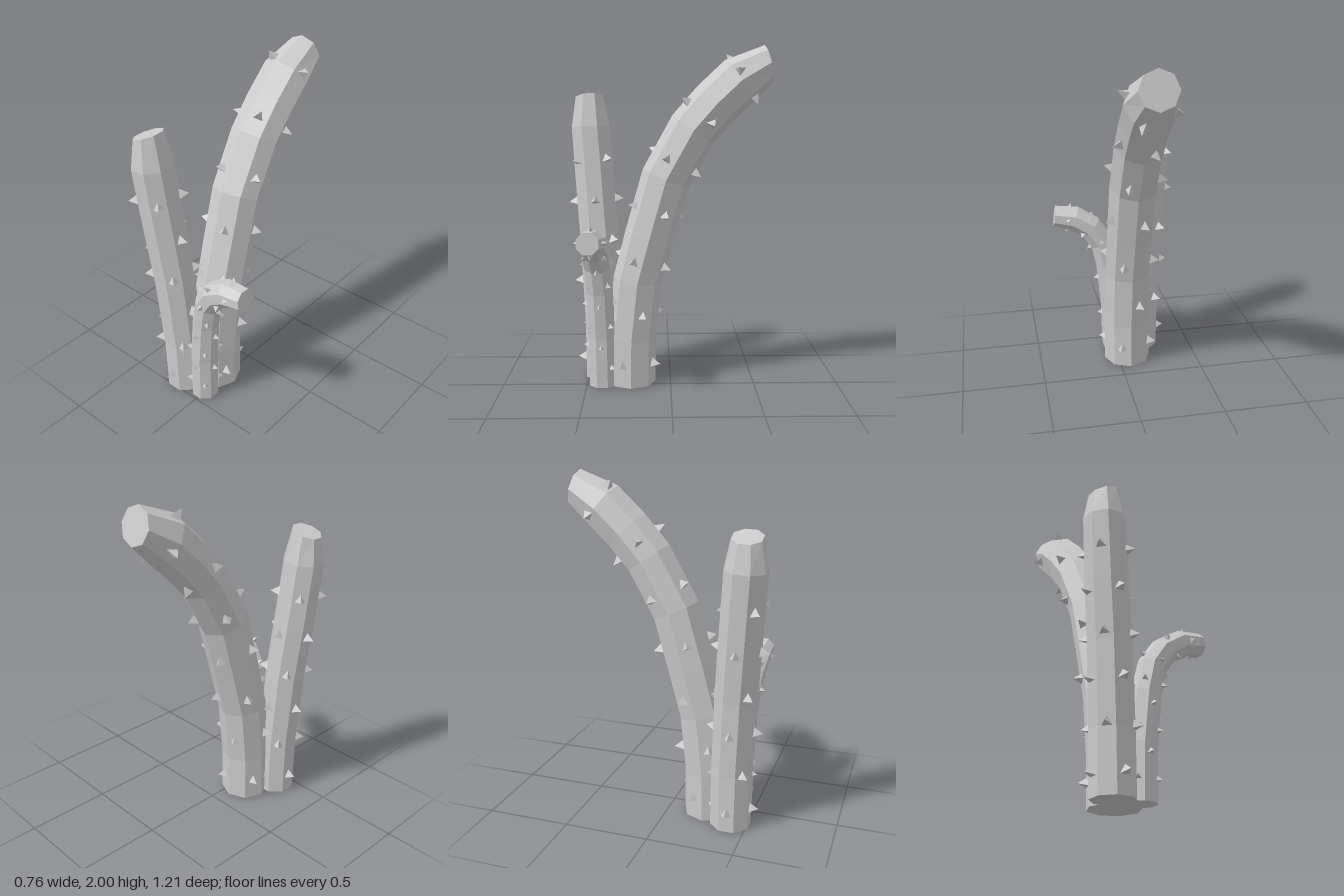
import * as THREE from 'three';

const SIDES = 8;
const material = new THREE.MeshStandardMaterial({ color: 0xcccccc, flatShading: true });
const V = (x, y, z) => new THREE.Vector3(x, y, z);

// Ring frames along a path of [x, y, z, radius]; the last ring faces endDir.
function makeRings(path, endDir) {
  const pts = path.map(p => V(p[0], p[1], p[2]));
  return pts.map((c, i) => {
    let T;
    if (i === 0) T = V(0, 1, 0);
    else if (i === pts.length - 1) T = V(...endDir).normalize();
    else {
      const a = c.clone().sub(pts[i - 1]).normalize();
      const b = pts[i + 1].clone().sub(c).normalize();
      T = a.add(b).normalize();
    }
    const X = T.clone().cross(V(0, 0, 1)).normalize();
    return { c, T, X, Z: X.clone().cross(T), r: path[i][3] };
  });
}

// Outward direction at an angle measured from the front towards the left side
const outward = (f, a) =>
  f.X.clone().multiplyScalar(Math.sin(a)).addScaledVector(f.Z, Math.cos(a));

// Eight-sided tapering stem, closed at both ends
function stemGeometry(rings, phase) {
  const pos = [], idx = [];
  const add = p => pos.push(p.x, p.y, p.z);
  for (const f of rings)
    for (let j = 0; j < SIDES; j++)
      add(f.c.clone().addScaledVector(outward(f, phase + j * Math.PI * 2 / SIDES), f.r));
  const last = rings.length - 1;
  add(rings[0].c);
  add(rings[last].c);
  const bottom = rings.length * SIDES, top = bottom + 1;
  for (let j = 0; j < SIDES; j++) {
    const k = (j + 1) % SIDES;
    for (let i = 0; i < last; i++) {
      const a = i * SIDES, b = a + SIDES;
      idx.push(a + j, a + k, b + k, a + j, b + k, b + j);
    }
    idx.push(bottom, k, j, top, last * SIDES + j, last * SIDES + k);
  }
  const g = new THREE.BufferGeometry();
  g.setAttribute('position', new THREE.Float32BufferAttribute(pos, 3));
  g.setIndex(idx);
  const flat = g.toNonIndexed();
  flat.computeVertexNormals();
  return flat;
}

// Frame at a given length along the stem
function frameAt(rings, s) {
  let i = 0, len = rings[0].c.distanceTo(rings[1].c);
  while (s > len && i < rings.length - 2) {
    s -= len;
    i++;
    len = rings[i].c.distanceTo(rings[i + 1].c);
  }
  const a = rings[i], b = rings[i + 1], t = s / len;
  const T = b.c.clone().sub(a.c).normalize();
  const X = T.clone().cross(V(0, 0, 1)).normalize();
  return { c: a.c.clone().lerp(b.c, t), T, X, Z: X.clone().cross(T), r: a.r + (b.r - a.r) * t };
}

// Rows of four spikes, each row turned by one face from the row below
function addSpikes(group, rings, o) {
  const geo = new THREE.ConeGeometry(o.size * 0.62, o.size, 3);
  for (let row = 0; row < o.rows; row++) {
    const f = frameAt(rings, o.start + row * o.step);
    for (let k = 0; k < 4; k++) {
      const d = outward(f, o.angle + row * Math.PI / 4 + k * Math.PI / 2);
      const spike = new THREE.Mesh(geo, material);
      spike.name = 'spike';
      spike.position.copy(f.c).addScaledVector(d, f.r * Math.cos(Math.PI / SIDES) + o.size * 0.38);
      spike.quaternion.setFromRotationMatrix(
        new THREE.Matrix4().makeBasis(d.clone().cross(f.T), d, f.T));
      group.add(spike);
    }
  }
}

function makeStem(name, path, endDir, phase, spikes) {
  const group = new THREE.Group();
  group.name = name;
  const rings = makeRings(path, endDir);
  const stem = new THREE.Mesh(stemGeometry(rings, phase), material);
  stem.name = name + 'Body';
  group.add(stem);
  addSpikes(group, rings, spikes);
  return group;
}

export function createModel() {
  const model = new THREE.Group();
  model.name = 'cactus';
  const E = Math.PI / 8;

  // Tall stem arching to the back
  model.add(makeStem('tallStem', [
    [-0.06, 0, 0.235, 0.145], [-0.06, 0.28, 0.232, 0.145], [-0.06, 0.63, 0.195, 0.145],
    [-0.06, 0.892, 0.125, 0.145], [-0.06, 1.237, 0.027, 0.145], [-0.06, 1.52, -0.13, 0.145],
    [-0.06, 1.665, -0.257, 0.145], [-0.06, 1.80, -0.40, 0.145], [-0.06, 1.898, -0.568, 0.106],
  ], [0, 0.26, -0.965], 0, { start: 0.13, step: 0.31, rows: 7, size: 0.06, angle: 3 * E }));

  // Middle stem leaning to the right
  model.add(makeStem('middleStem', [
    [-0.17, 0, 0.402, 0.12], [-0.175, 0.35, 0.405, 0.12], [-0.197, 0.8, 0.425, 0.122],
    [-0.228, 1.15, 0.45, 0.122], [-0.258, 1.53, 0.477, 0.12], [-0.267, 1.703, 0.482, 0.088],
  ], [-0.33, 0.94, 0.05], E, { start: 0.12, step: 0.243, rows: 6, size: 0.06, angle: 0 }));

  // Small stem curling out to the left
  model.add(makeStem('smallStem', [
    [-0.008, 0, 0.405, 0.084], [0, 0.3, 0.408, 0.084], [0.03, 0.58, 0.416, 0.081],
    [0.066, 0.74, 0.424, 0.08], [0.137, 0.842, 0.434, 0.08], [0.24, 0.905, 0.446, 0.078],
    [0.366, 0.925, 0.456, 0.066],
  ], [0.99, 0.13, 0.05], E, { start: 0.12, step: 0.13, rows: 8, size: 0.035, angle: E * 2 }));

  return model;
}
